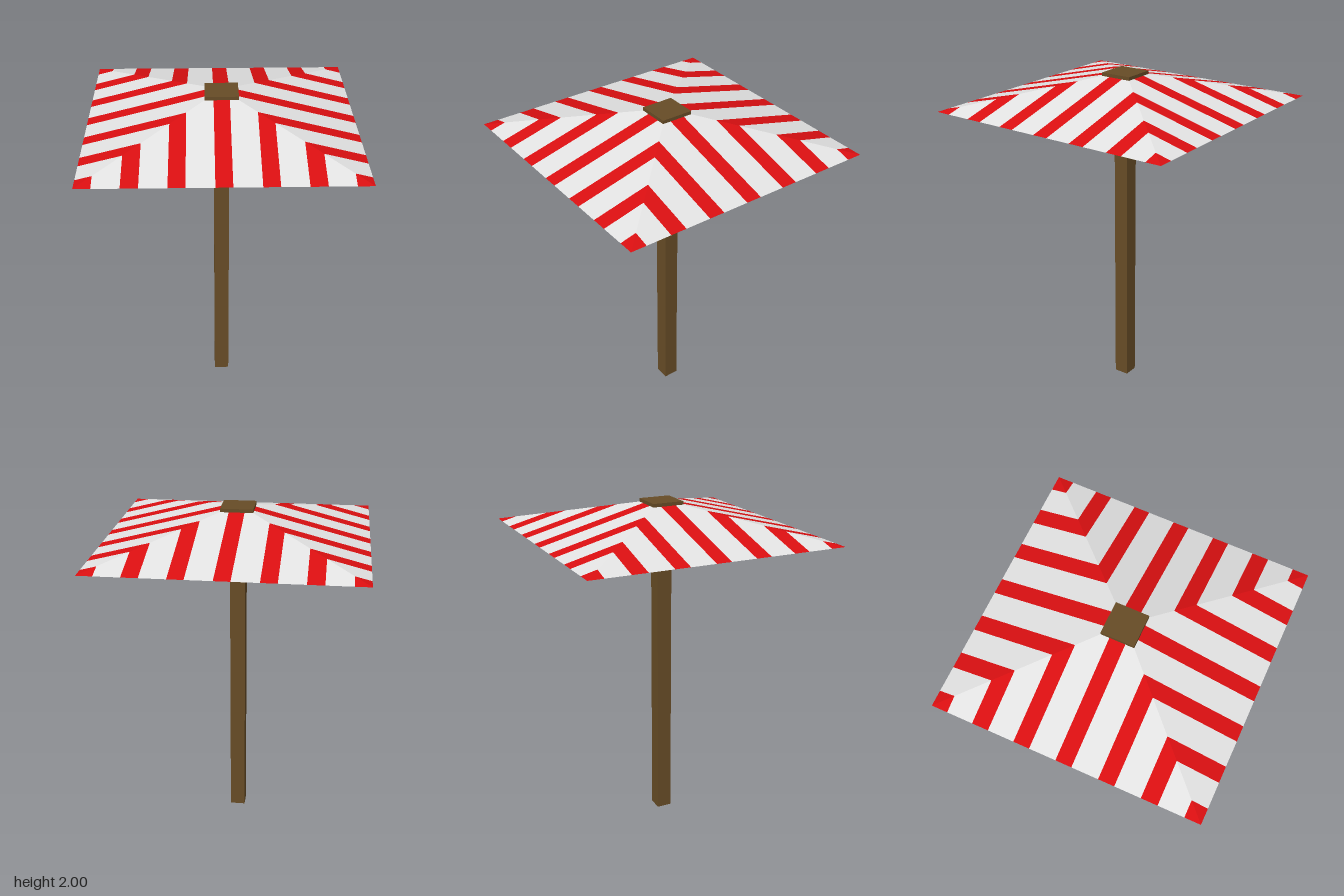
import * as THREE from 'three';

const HALF = 0.76;      // canopy half width at the eaves
const INNER = 0.095;    // half width where the canopy meets the cap
const EAVE_Y = 1.81;
const TOP_Y = 1.98;

// Point on the front slope of the canopy at (x, z)
const slopePoint = (x, z) => [x, EAVE_Y + (TOP_Y - EAVE_Y) * (HALF - z) / (HALF - INNER), z];

// One colour of stripes on one slope: each strip runs from the eave up to the hip or cap
function stripGeometry(strips) {
  const pos = [];
  for (const [x0, x1] of strips) {
    const a = slopePoint(x0, HALF), b = slopePoint(x1, HALF);
    const c = slopePoint(x1, Math.max(Math.abs(x1), INNER));
    const d = slopePoint(x0, Math.max(Math.abs(x0), INNER));
    pos.push(...a, ...b, ...c, ...a, ...c, ...d);
  }
  const geo = new THREE.BufferGeometry();
  geo.setAttribute('position', new THREE.Float32BufferAttribute(pos, 3));
  geo.computeVertexNormals();
  return geo;
}

export function createModel() {
  const wood = new THREE.MeshStandardMaterial({ name: 'brown wood', color: 0x674c26 });
  const white = new THREE.MeshStandardMaterial({ name: 'white cloth', color: 0xe3e3e3, side: THREE.DoubleSide });
  const red = new THREE.MeshStandardMaterial({ name: 'red cloth', color: 0xda0f11, side: THREE.DoubleSide });

  const group = new THREE.Group();
  group.name = 'parasol';

  const addBox = (name, width, y0, y1) => {
    const mesh = new THREE.Mesh(new THREE.BoxGeometry(width, y1 - y0, width), wood);
    mesh.name = name;
    mesh.position.y = (y0 + y1) / 2;
    group.add(mesh);
  };
  addBox('pole', 0.09, 0, 1.95);
  addBox('cap', 0.19, 1.925, 2);

  // Stripe edges, mirrored about the middle of each slope
  const mirror = (list) => list.flatMap(([a, b]) => [[a, b], [-b, -a]]);
  const redStrips = [[-0.045, 0.045], ...mirror([[0.195, 0.285], [0.432, 0.524], [0.67, HALF]])];
  const whiteStrips = mirror([[0.045, INNER], [INNER, 0.195], [0.285, 0.432], [0.524, 0.67]]);
  const redGeo = stripGeometry(redStrips);
  const whiteGeo = stripGeometry(whiteStrips);

  // Four sloping canopy panels
  const canopy = new THREE.Group();
  canopy.name = 'canopy';
  ['front', 'left', 'back', 'right'].forEach((side, i) => {
    const panel = new THREE.Group();
    panel.name = side + 'Panel';
    panel.rotation.y = i * Math.PI / 2;
    for (const [name, geo, mat] of [['redStripes', redGeo, red], ['whiteStripes', whiteGeo, white]]) {
      const mesh = new THREE.Mesh(geo, mat);
      mesh.name = name;
      panel.add(mesh);
    }
    canopy.add(panel);
  });
  group.add(canopy);
  return group;
}
